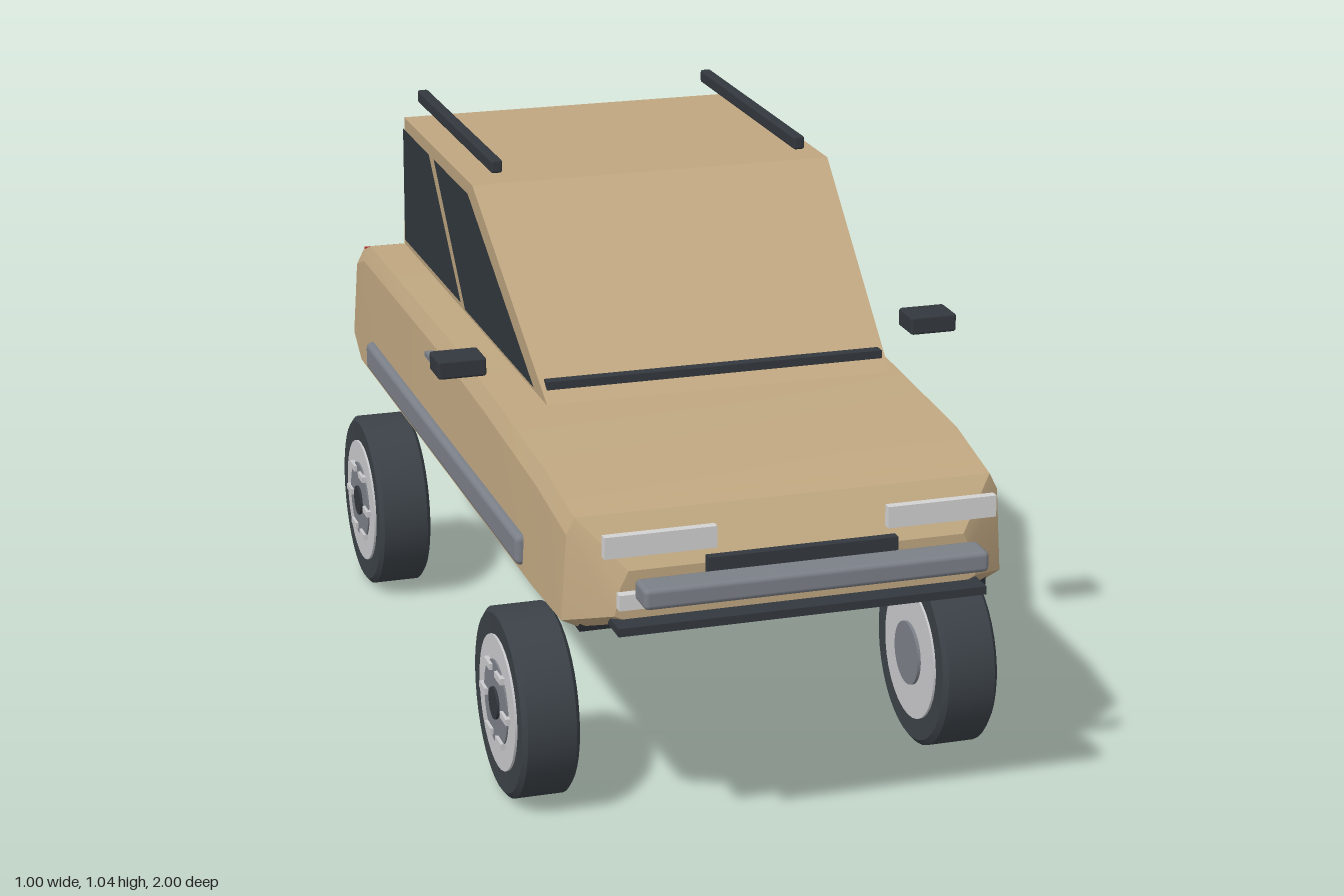
import * as THREE from 'three';
import { toCreasedNormals } from 'three/addons/utils/BufferGeometryUtils.js';
import { RoundedBoxGeometry } from 'three/addons/geometries/RoundedBoxGeometry.js';

const material = (name, color, side = THREE.FrontSide) => {
  const m = new THREE.MeshStandardMaterial({ color, side });
  m.name = name;
  return m;
};

// Closed skin over rings of [x, y, z] points
function loft(rings, crease) {
  const n = rings[0].length, verts = [];
  const tri = (...p) => p.forEach(v => verts.push(...v));
  for (let i = 0; i < rings.length - 1; i++) {
    for (let j = 0; j < n; j++) {
      const k = (j + 1) % n;
      const a = rings[i][j], b = rings[i][k], c = rings[i + 1][k], d = rings[i + 1][j];
      tri(a, d, b);
      tri(d, c, b);
    }
  }
  const last = rings[rings.length - 1];
  for (let j = 1; j < n - 1; j++) {
    tri(rings[0][0], rings[0][j], rings[0][j + 1]);
    tri(last[0], last[j + 1], last[j]);
  }
  const g = new THREE.BufferGeometry();
  g.setAttribute('position', new THREE.Float32BufferAttribute(verts, 3));
  return toCreasedNormals(g, crease);
}

export function createModel() {
  const car = new THREE.Group();
  car.name = 'car';
  const paint = material('tanPaint', 0xbfa680);
  const glass = material('darkGlass', 0x33393f, THREE.DoubleSide);
  const rubber = material('rubber', 0x3b4147);
  const trim = material('blackTrim', 0x33383e);
  const under = material('underbody', 0x24282d);
  const steel = material('greySteel', 0x7b7f87);
  const chrome = material('lightChrome', 0xc9c9cc);
  const lamp = material('clearLamp', 0xd2d2d2);
  const red = material('redLamp', 0xa62a2a);

  const add = (name, geo, mat, x = 0, y = 0, z = 0, parent = car) => {
    const m = new THREE.Mesh(geo, mat);
    m.name = name;
    m.position.set(x, y, z);
    parent.add(m);
    return m;
  };
  // Box given by its limits on each axis
  const box = (name, mat, [x0, x1], [y0, y1], [z0, z1], round = 0) => {
    const s = [x1 - x0, y1 - y0, z1 - z0];
    const geo = round ? new RoundedBoxGeometry(...s, 2, round) : new THREE.BoxGeometry(...s);
    return add(name, geo, mat, (x0 + x1) / 2, (y0 + y1) / 2, (z0 + z1) / 2);
  };
  const pair = (name, mat, [x0, x1], y, z, round) => {
    box(name + 'Left', mat, [x0, x1], y, z, round);
    box(name + 'Right', mat, [-x1, -x0], y, z, round);
  };

  // Lower body: [z, half width, bottom, top]
  const sections = [
    [0.89, 0.33, 0.445, 0.54], [0.82, 0.405, 0.42, 0.62], [0.65, 0.41, 0.42, 0.65],
    [0.3, 0.41, 0.42, 0.67], [0, 0.41, 0.42, 0.68], [-0.7, 0.41, 0.42, 0.68],
    [-0.88, 0.385, 0.425, 0.62], [-0.93, 0.35, 0.445, 0.54],
  ];
  const bodyRings = sections.map(([z, w, b, t]) => {
    const half = [[w - 0.03, b], [w, b + 0.015], [w - 0.01, t - 0.03], [w - 0.025, t]];
    return [
      ...half.map(([x, y]) => [x, y, z]),
      ...half.slice().reverse().map(([x, y]) => [-x, y, z]),
    ];
  });
  add('body', loft(bodyRings, 0.3), paint);
  box('underbody', under, [-0.375, 0.375], [0.414, 0.43], [-0.83, 0.83]);

  // Cabin, slightly wider at the roof
  const level = (w, y, front, back) => [[w, y, front], [w, y, back], [-w, y, back], [-w, y, front]];
  add('cabin', loft([level(0.352, 1, 0.04, -0.505), level(0.327, 0.7, 0.46, -0.635)], 0.2), paint);

  // Side windows lie just outside the leaning cabin walls
  const panes = {
    frontWindow: [[0.4, 0.715], [0.025, 0.98], [-0.24, 0.98], [-0.098, 0.715]],
    rearWindow: [[-0.13, 0.72], [-0.28, 0.98], [-0.495, 0.98], [-0.592, 0.72]],
  };
  for (const [name, pts] of Object.entries(panes)) {
    for (const side of [1, -1]) {
      const geo = new THREE.ShapeGeometry(new THREE.Shape(pts.map(p => new THREE.Vector2(...p))));
      const pos = geo.attributes.position;
      for (let i = 0; i < pos.count; i++) {
        const z = pos.getX(i), y = pos.getY(i);
        pos.setXYZ(i, side * (0.327 + (y - 0.7) / 12 + 0.007), y, z);
      }
      geo.computeVertexNormals();
      add(name + (side > 0 ? 'Left' : 'Right'), geo, glass);
    }
  }
  box('windscreenStrip', trim, [-0.32, 0.32], [0.72, 0.735], [0.415, 0.437]);

  // Roof rails, mirrors, handles and sills
  pair('roofRail', trim, [0.289, 0.311], [1.015, 1.041], [-0.56, 0.025], 0.005);
  pair('mirror', trim, [0.41, 0.5], [0.73, 0.765], [0.285, 0.355], 0.005);
  pair('doorHandle', steel, [0.395, 0.418], [0.63, 0.64], [-0.095, -0.02]);
  pair('sideSill', steel, [0.39, 0.422], [0.447, 0.505], [-0.605, 0.585], 0.012);

  // Front end
  pair('headlight', lamp, [0.155, 0.355], [0.575, 0.614], [0.898, 0.914]);
  pair('foglight', lamp, [0.262, 0.33], [0.48, 0.508], [0.9, 0.918]);
  box('grille', trim, [-0.172, 0.172], [0.48, 0.56], [0.902, 0.92]);
  box('frontBumper', steel, [-0.31, 0.31], [0.508, 0.546], [0.938, 1], 0.009);
  box('frontLip', trim, [-0.335, 0.335], [0.438, 0.453], [0.868, 0.93]);

  // Rear end
  pair('taillight', red, [0.17, 0.345], [0.58, 0.61], [-0.937, -0.922]);
  box('rearBumper', steel, [-0.34, 0.34], [0.47, 0.52], [-0.965, -0.93], 0.008);
  pair('reverseLight', lamp, [0.217, 0.273], [0.468, 0.5], [-1, -0.963]);

  // Wheels, built along +y and turned so +y points outward
  const tyreProfile = [
    [0.11, -0.05], [0.165, -0.053], [0.175, -0.045], [0.175, 0.045], [0.165, 0.053], [0.11, 0.05],
  ].map(p => new THREE.Vector2(...p));
  const tyreGeo = toCreasedNormals(new THREE.LatheGeometry(tyreProfile, 40), 0.5);
  const disc = (r, h) => new THREE.CylinderGeometry(r, r, h, 32);
  for (const side of [1, -1]) {
    for (const z of [0.555, -0.55]) {
      const wheel = new THREE.Group();
      wheel.name = (z > 0 ? 'front' : 'rear') + 'Wheel' + (side > 0 ? 'Left' : 'Right');
      wheel.position.set(side * 0.397, 0.178, z);
      wheel.rotation.z = -side * Math.PI / 2;
      car.add(wheel);
      add('tyre', tyreGeo, rubber, 0, 0, 0, wheel);
      add('rim', disc(0.125, 0.11), chrome, 0, 0, 0, wheel);
      add('hubPlate', disc(0.08, 0.01), steel, 0, 0.053, 0, wheel);
      add('innerHub', disc(0.06, 0.01), steel, 0, -0.056, 0, wheel);
      add('hubCap', disc(0.03, 0.012), trim, 0, 0.057, 0, wheel);
      for (let i = 0; i < 6; i++) {
        const a = i * Math.PI / 3;
        add('spokeStud', new THREE.BoxGeometry(0.012, 0.012, 0.04), chrome,
          Math.sin(a) * 0.073, 0.058, Math.cos(a) * 0.073, wheel);
      }
    }
  }
  return car;
}
